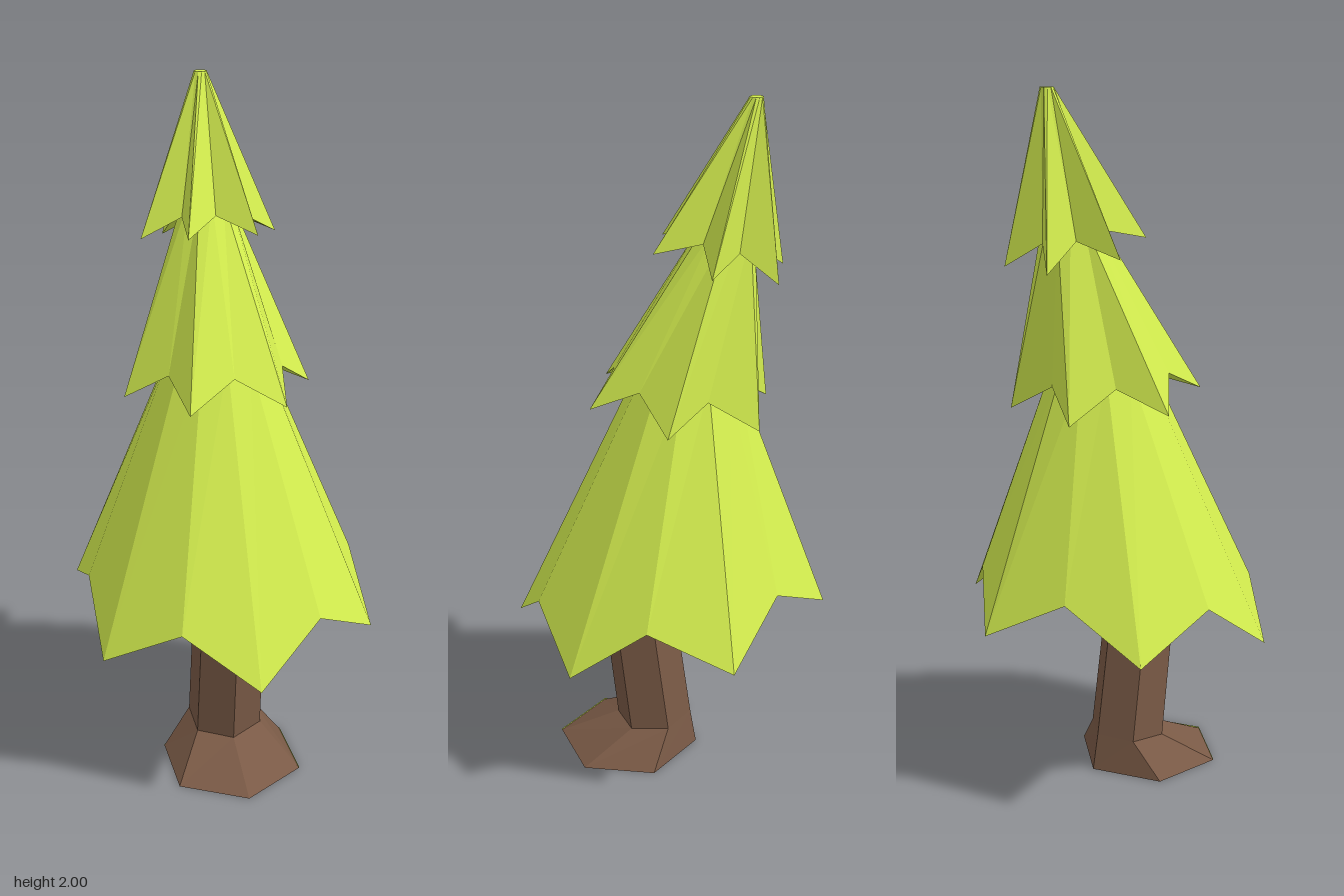
import * as THREE from 'three';

const green = new THREE.MeshStandardMaterial({ color: 0xd4ee4f, flatShading: true });
const brown = new THREE.MeshStandardMaterial({ color: 0x7a5a46, flatShading: true });

// Ring of n points around (0, y, z); tilt raises points towards +z.
function ring(n, y, z, r, tilt = 0, turn = 0) {
  return Array.from({ length: n }, (_, i) => {
    const a = turn + (i / n) * Math.PI * 2;
    const dz = r * Math.cos(a);
    return new THREE.Vector3(r * Math.sin(a), y + tilt * dz, z + dz);
  });
}

// Skirt hem: even points are the low outer tips, odd points the raised notches.
function hem(tip, notch, turn) {
  const tips = ring(12, tip.y, tip.z, tip.r, tip.tilt, turn);
  const notches = ring(12, notch.y, notch.z, notch.r, notch.tilt, turn);
  return tips.map((p, i) => (i % 2 ? notches[i] : p));
}

// Flat-faced skin through a stack of rings, with optional end caps.
function loft(rings, capStart = true, capEnd = true) {
  const pts = [];
  const n = rings[0].length;
  const cap = (r, flip) => {
    const c = r.reduce((s, p) => s.add(p), new THREE.Vector3()).divideScalar(n);
    r.forEach((p, i) => {
      const q = r[(i + 1) % n];
      pts.push(c, ...(flip ? [q, p] : [p, q]));
    });
  };
  for (let k = 0; k < rings.length - 1; k++) {
    for (let i = 0; i < n; i++) {
      const j = (i + 1) % n;
      const [a, b, c, d] = [rings[k][i], rings[k][j], rings[k + 1][j], rings[k + 1][i]];
      pts.push(a, b, c, a, c, d);
    }
  }
  if (capStart) cap(rings[0], true);
  if (capEnd) cap(rings[rings.length - 1], false);
  const geo = new THREE.BufferGeometry().setFromPoints(pts);
  geo.computeVertexNormals();
  return geo;
}

export function createModel() {
  const tree = new THREE.Group();
  tree.name = 'tree';
  const add = (name, geo, mat) => {
    const mesh = new THREE.Mesh(geo, mat);
    mesh.name = name;
    tree.add(mesh);
  };

  // Bent six-sided trunk with a flared foot
  const foot = ring(6, 0, 0.13, 0.213);
  add('trunk', loft([
    foot,
    ring(6, 0.1, 0.048, 0.113, -0.09),
    ring(6, 0.465, 0.092, 0.108, -0.1),
    ring(6, 0.73, -0.085, 0.1, -0.1),
  ], false), brown);

  // Green underside of the foot
  add('footUnderside', loft([foot.map((p) => p.clone().setY(0.004)), foot], true, false), green);

  // Three leaning branch tiers: recessed underside, notched hem, narrow top
  const half = Math.PI / 6;
  const tiers = [
    {
      name: 'lowerBranches', turn: 0,
      under: [0.72, 0, 0.24, -0.1],
      tip: { y: 0.485, z: 0, r: 0.458, tilt: -0.105 },
      notch: { y: 0.618, z: 0.012, r: 0.396, tilt: -0.1 },
      top: [1.25, -0.055, 0.135, 0.08],
    },
    {
      name: 'middleBranches', turn: half,
      under: [1.23, -0.05, 0.12, 0.08],
      tip: { y: 1.145, z: -0.03, r: 0.27, tilt: 0.085 },
      notch: { y: 1.222, z: -0.032, r: 0.187, tilt: 0.1 },
      top: [1.66, -0.162, 0.068, 0.2],
    },
    {
      name: 'upperBranches', turn: half,
      under: [1.63, -0.15, 0.062, 0.2],
      tip: { y: 1.565, z: -0.135, r: 0.193, tilt: 0.21 },
      notch: { y: 1.618, z: -0.148, r: 0.097, tilt: 0.22 },
      top: [2, -0.225, 0.018, 0],
    },
  ];
  for (const t of tiers) {
    add(t.name, loft([
      ring(12, ...t.under, t.turn),
      hem(t.tip, t.notch, t.turn),
      ring(12, ...t.top, t.turn),
    ]), green);
  }
  return tree;
}
